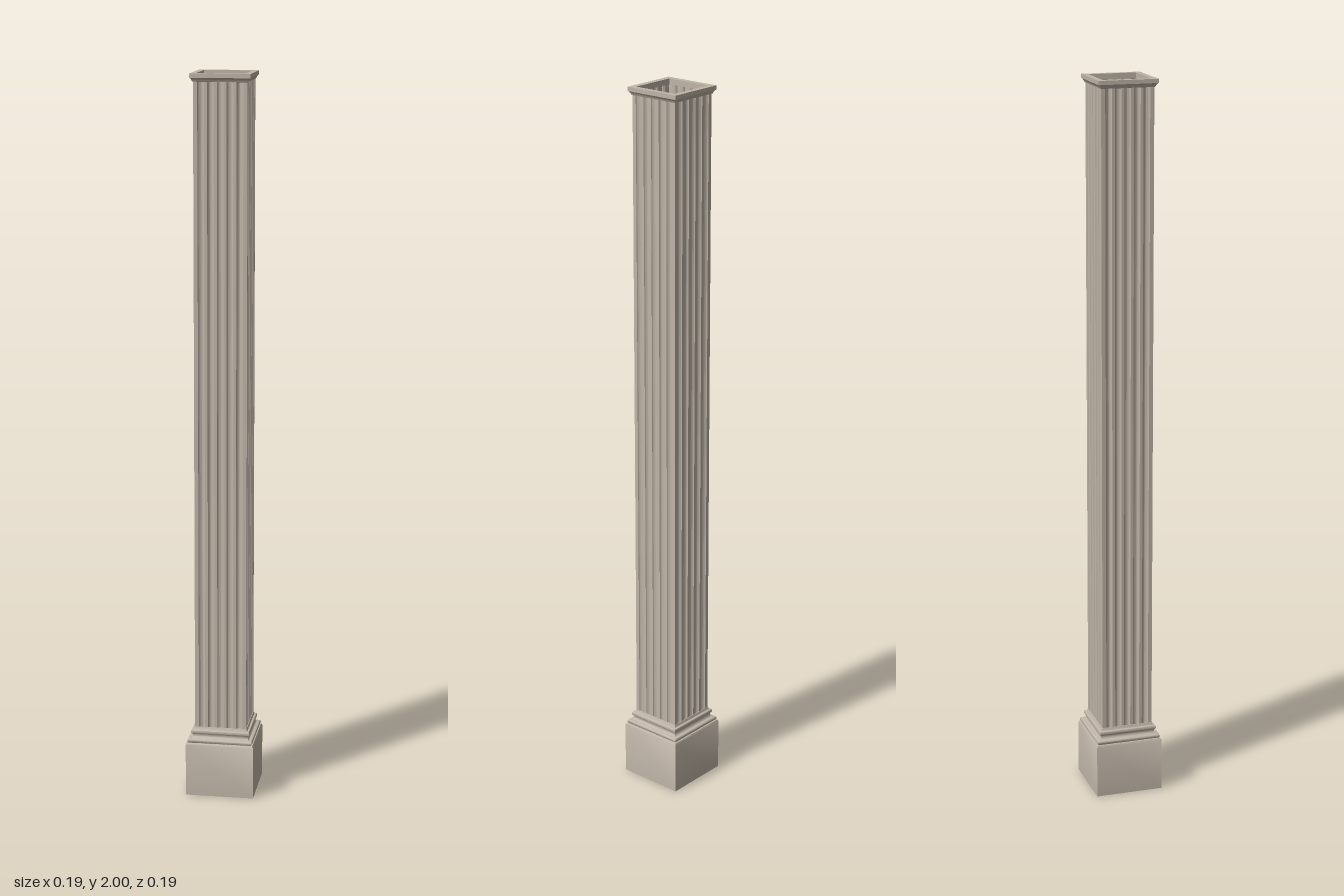
import * as THREE from 'three';
import { toCreasedNormals } from 'three/addons/utils/BufferGeometryUtils.js';

const stone = new THREE.MeshStandardMaterial({ color: 0xc0b5a8, side: THREE.DoubleSide });
stone.name = 'warm grey stone';

// Square moulding swept from a profile of [half width, height] points
function squareMoulding(name, profile) {
  const points = profile.map(([half, y]) => new THREE.Vector2(half * Math.SQRT2, y));
  const geometry = new THREE.LatheGeometry(points, 4, Math.PI / 4);
  const mesh = new THREE.Mesh(toCreasedNormals(geometry, 0.7), stone);
  mesh.name = name;
  return mesh;
}

// Half-round bead running between two heights
function bead(inner, bulge, y0, y1, steps = 6) {
  return Array.from({ length: steps + 1 }, (_, i) => {
    const a = (i / steps) * Math.PI;
    return [inner + bulge * Math.sin(a), (y0 + y1) / 2 - ((y1 - y0) / 2) * Math.cos(a)];
  });
}

// Outline of the shaft: rounded grooves on each of the four sides
function flutedOutline(half, count, width, depth) {
  const side = [[-half, half]];
  const pitch = 0.026;
  for (let f = 0; f < count; f++) {
    const centre = (f - (count - 1) / 2) * pitch;
    for (let i = 0; i <= 6; i++) {
      const a = (i / 6) * Math.PI;
      side.push([centre - (width / 2) * Math.cos(a), half - depth * Math.sin(a)]);
    }
  }
  const outline = [];
  for (let s = 0; s < 4; s++) {
    for (const [x, z] of side) {
      const c = Math.round(Math.cos(s * Math.PI / 2));
      const n = Math.round(Math.sin(s * Math.PI / 2));
      outline.push([x * c + z * n, z * c - x * n]);
    }
  }
  outline.push(outline[0]);
  return outline;
}

// Hollow shaft: a plane wrapped around the outline
function flutedShaft(y0, y1) {
  const outline = flutedOutline(0.072, 5, 0.018, 0.007);
  const geometry = new THREE.PlaneGeometry(1, 1, outline.length - 1, 1);
  const pos = geometry.attributes.position;
  for (let i = 0; i < pos.count; i++) {
    const [x, z] = outline[i % outline.length];
    pos.setXYZ(i, x, i < outline.length ? y1 : y0, z);
  }
  const mesh = new THREE.Mesh(toCreasedNormals(geometry, 0.7), stone);
  mesh.name = 'flutedShaft';
  return mesh;
}

export function createModel() {
  const column = new THREE.Group();
  column.name = 'squareColumn';

  // Open-bottomed plinth with a small chamfer
  column.add(squareMoulding('plinth', [[0.095, 0], [0.095, 0.148], [0.092, 0.153], [0.088, 0.153]]));

  // Stepped base mouldings
  column.add(squareMoulding('baseMoulding', [
    ...bead(0.086, 0.005, 0.153, 0.165),
    [0.081, 0.165], [0.078, 0.169], [0.077, 0.175],
    ...bead(0.078, 0.004, 0.177, 0.189),
    [0.075, 0.189], [0.073, 0.196], [0.071, 0.196],
  ]));

  column.add(flutedShaft(0.19, 1.985));

  // Flared cap with a flat open rim
  column.add(squareMoulding('cap', [
    [0.071, 1.978], [0.074, 1.979], [0.076, 1.984], [0.079, 1.988],
    [0.081, 1.989], [0.081, 2], [0.065, 2], [0.065, 1.985],
  ]));

  return column;
}
